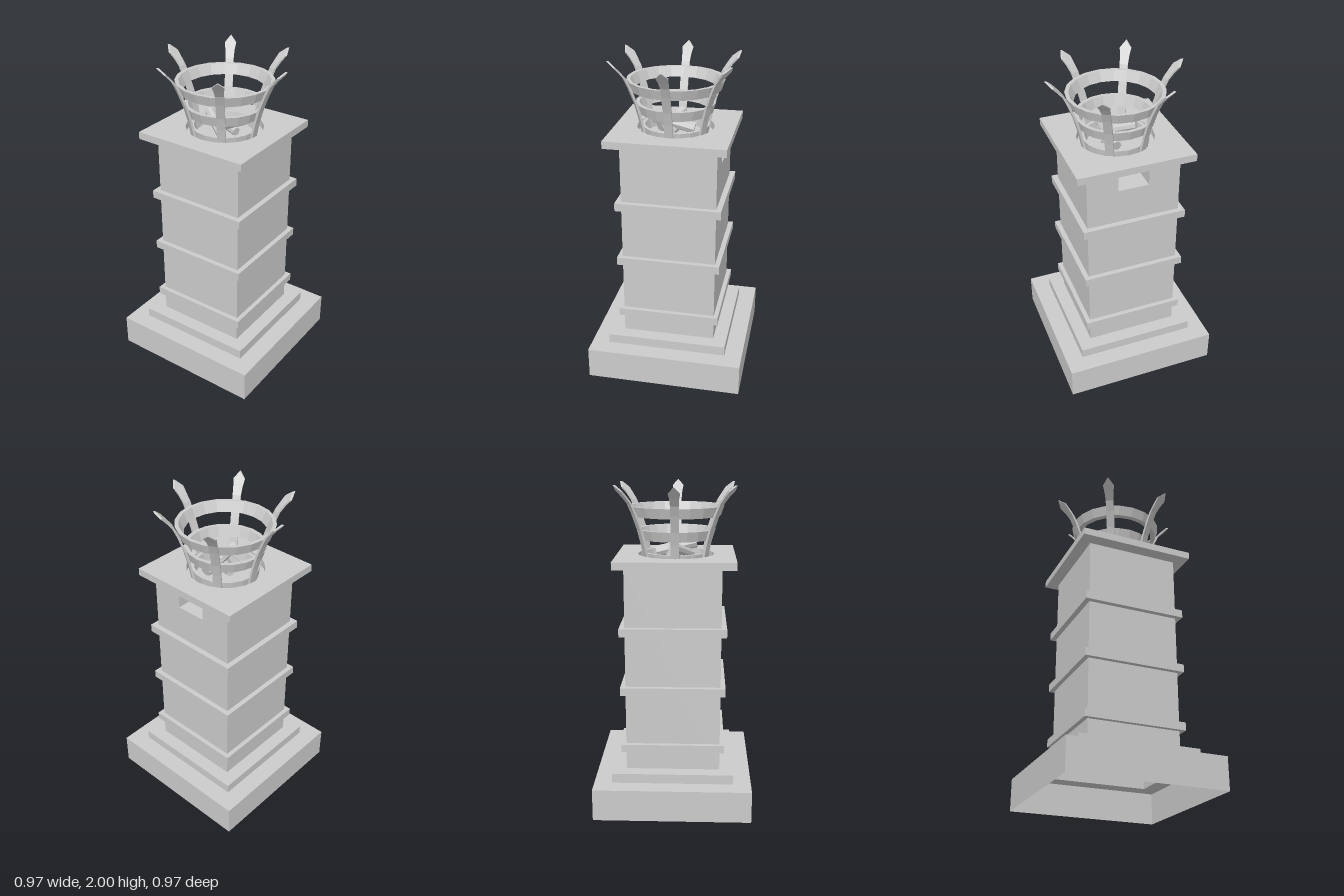
import * as THREE from 'three';

const solid = new THREE.MeshStandardMaterial({ color: 0xcccccc, flatShading: true });
const sheet = new THREE.MeshStandardMaterial({ color: 0xcccccc, flatShading: true, side: THREE.DoubleSide });
const CENTRE_Z = 0.01; // cap and basket sit slightly forward

function add(parent, name, geometry, material = solid) {
  const mesh = new THREE.Mesh(geometry, material);
  mesh.name = name;
  parent.add(mesh);
  return mesh;
}

// Square shell from a profile of [half width, y]
function squareShell(profile) {
  const pts = profile.map(([w, y]) => new THREE.Vector2(w * Math.SQRT2, y));
  return new THREE.LatheGeometry(pts, 4, Math.PI / 4);
}

// Faceted hoop with a sloping, thick section
function hoop(y0, y1, outer0, outer1, inner0, inner1) {
  const pts = [[inner0, y0], [outer0, y0], [outer1, y1], [inner1, y1], [inner0, y0]];
  return new THREE.LatheGeometry(pts.map(([r, y]) => new THREE.Vector2(r, y)), 20);
}

function rect(x0, y0, x1, y1, Type = THREE.Shape) {
  const s = new Type();
  s.moveTo(x0, y0);
  s.lineTo(x1, y0);
  s.lineTo(x1, y1);
  s.lineTo(x0, y1);
  s.closePath();
  return s;
}

// Curved pointed bar: a box whose rows follow [radius, y, half width]
function barGeometry() {
  const rows = [
    [0.2, 1.53, 0.025], [0.21, 1.58, 0.025], [0.225, 1.65, 0.025], [0.247, 1.73, 0.025],
    [0.285, 1.83, 0.025], [0.313, 1.89, 0.025], [0.345, 1.93, 0.028],
    [0.378, 1.965, 0.035], [0.41, 2.0, 0.002],
  ];
  const n = rows.length - 1;
  const geo = new THREE.BoxGeometry(1, 1, 1, 1, n, 1);
  const p = geo.attributes.position;
  for (let i = 0; i < p.count; i++) {
    const [r, y, w] = rows[Math.round((p.getY(i) + 0.5) * n)];
    p.setXYZ(i, r + p.getX(i) * 0.014, y, p.getZ(i) * 2 * w);
  }
  geo.computeVertexNormals();
  return geo;
}

function addLog(parent, from, to, radius) {
  const a = new THREE.Vector3(...from), b = new THREE.Vector3(...to);
  const dir = b.clone().sub(a);
  const log = add(parent, 'log', new THREE.CylinderGeometry(radius, radius, dir.length(), 8));
  log.position.copy(a).add(b).multiplyScalar(0.5);
  log.quaternion.setFromUnitVectors(new THREE.Vector3(0, 1, 0), dir.normalize());
}

export function createModel() {
  const model = new THREE.Group();
  model.name = 'brazierPillar';

  // Hollow stepped plinth, open underneath
  add(model, 'plinth', squareShell([
    [0.485, 0], [0.485, 0.2], [0.375, 0.2], [0.375, 0.26], [0.29, 0.26],
  ]), sheet);

  // Column walls; the back one has a vent opening
  const column = new THREE.Group();
  column.name = 'column';
  model.add(column);
  for (let i = 0; i < 4; i++) {
    const wall = rect(-0.29, 0.26, 0.29, 1.53);
    if (i === 2) wall.holes.push(rect(-0.095, 1.39, 0.095, 1.52, THREE.Path));
    const geo = new THREE.ShapeGeometry(wall);
    geo.translate(0, 0, 0.29);
    geo.rotateY(i * Math.PI / 2);
    add(column, i === 2 ? 'backWall' : 'columnWall', geo, sheet);
  }

  // Vent recess: a box without its outer face
  const recess = new THREE.BoxGeometry(0.19, 0.13, 0.15);
  recess.setIndex(Array.from(recess.index.array).slice(0, 30));
  add(column, 'ventRecess', recess, sheet).position.set(0, 1.455, -0.215);

  // Trim bands
  for (const [y, w] of [[0.38, 0.318], [0.75, 0.32], [1.12, 0.323]]) {
    add(model, 'trimBand', squareShell([
      [0.289, y], [w, y], [w, y + 0.05], [0.289, y + 0.05],
    ]), sheet);
  }

  // Cap slab with a round well for the fire
  const slab = rect(-0.363, -0.363, 0.363, 0.363);
  slab.holes.push(new THREE.Path().absarc(0, 0, 0.235, 0, Math.PI * 2, true));
  const capGeo = new THREE.ExtrudeGeometry(slab, { depth: 0.045, bevelEnabled: false, curveSegments: 10 });
  capGeo.rotateX(-Math.PI / 2);
  add(model, 'cap', capGeo).position.set(0, 1.53, CENTRE_Z);
  const floor = add(model, 'wellFloor', new THREE.CircleGeometry(0.235, 20).rotateX(-Math.PI / 2), sheet);
  floor.position.set(0, 1.53, CENTRE_Z);

  // Fire basket: three hoops and six flared bars
  const basket = new THREE.Group();
  basket.name = 'fireBasket';
  basket.position.z = CENTRE_Z;
  model.add(basket);
  add(basket, 'bottomHoop', hoop(1.53, 1.59, 0.197, 0.206, 0.175, 0.186), sheet);
  add(basket, 'middleHoop', hoop(1.67, 1.73, 0.224, 0.242, 0.198, 0.218), sheet);
  add(basket, 'topHoop', hoop(1.81, 1.87, 0.273, 0.293, 0.242, 0.27), sheet);
  const bar = barGeometry();
  for (let i = 0; i < 6; i++) {
    add(basket, 'basketBar', bar).rotation.y = i * Math.PI / 3;
  }

  // Logs heaped in the basket
  const logs = new THREE.Group();
  logs.name = 'logs';
  model.add(logs);
  addLog(logs, [0.053, 1.64, 0.135], [0.045, 1.58, -0.113], 0.035);
  addLog(logs, [-0.125, 1.635, -0.01], [0.035, 1.57, 0.1], 0.03);
  addLog(logs, [-0.07, 1.58, -0.025], [0.09, 1.565, 0.02], 0.025);

  return model;
}
